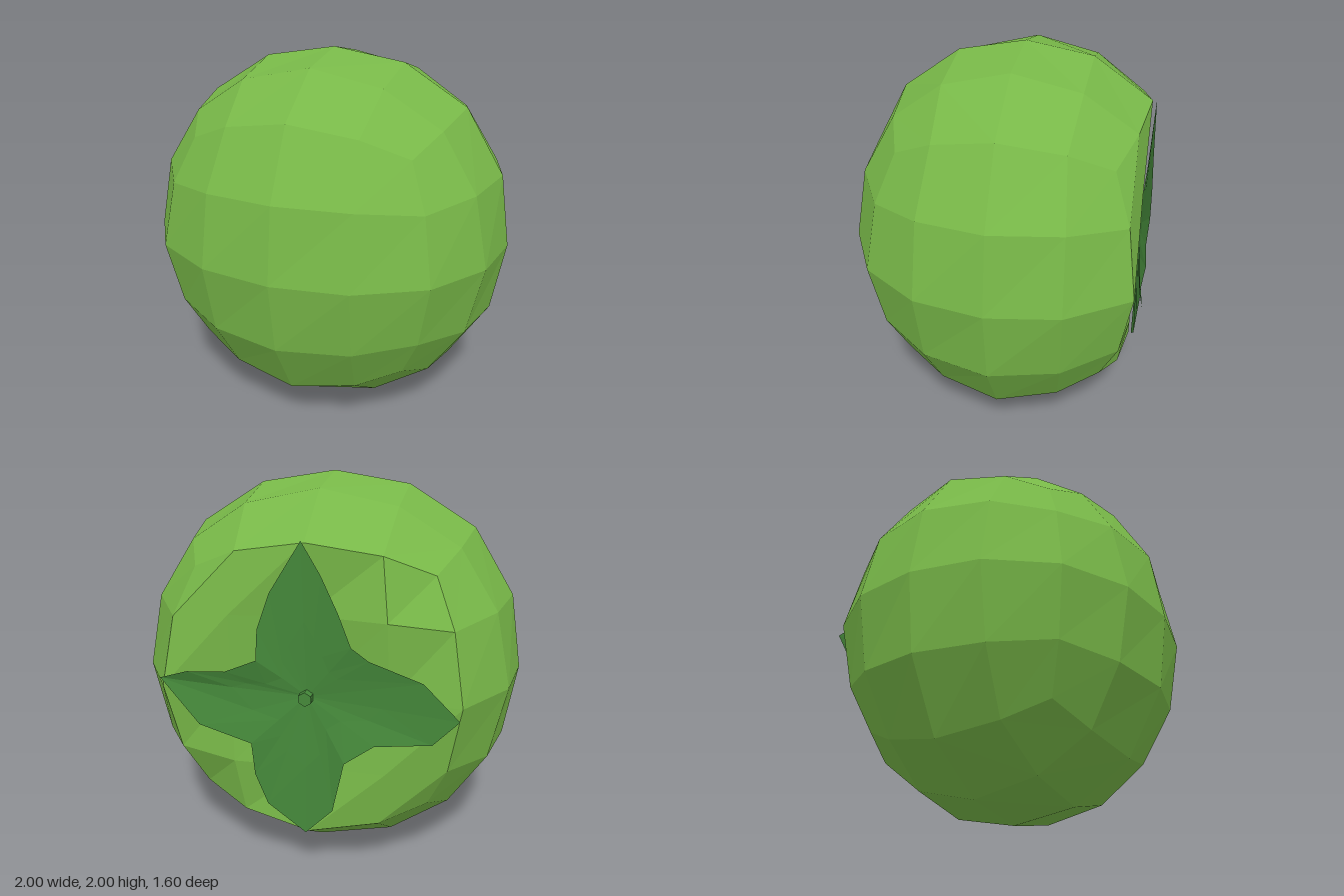
import * as THREE from 'three';

const bodyMat = new THREE.MeshStandardMaterial({ color: 0x78b848, flatShading: true });
const leafMat = new THREE.MeshStandardMaterial({ color: 0x45883a, flatShading: true, side: THREE.DoubleSide });

// Round body: a subdivided box pushed out to a squashed ball with a flattened, dimpled back
function makeBody() {
  const geo = new THREE.BoxGeometry(2, 2, 2, 4, 4, 4);
  const pos = geo.attributes.position;
  const even = (u, v, w) => Math.abs(Math.abs(u) - 0.5) < 0.1
    ? Math.sign(u) * (0.414 + 0.1 * Math.min(Math.abs(v), Math.abs(w)) ** 2) : u;
  for (let i = 0; i < pos.count; i++) {
    const x = pos.getX(i), y = pos.getY(i), z = pos.getZ(i);
    const p = new THREE.Vector3(even(x, y, z), even(y, x, z), even(z, x, y)).normalize();
    // slight swelling along the box edges
    const a = p.x * p.x, b = p.y * p.y, c = p.z * p.z;
    p.multiplyScalar(1 + 0.12 * (a * b + b * c + c * a - 9 * a * b * c));
    p.z = p.z * 0.9 - 0.1;
    if (z < -0.99 && Math.abs(x) < 0.9 && Math.abs(y) < 0.9) {
      const r = Math.hypot(x, y);
      p.z = r < 0.1 ? -0.68 : r < 0.6 ? -0.72 : -0.75;
    }
    pos.setXYZ(i, p.x, p.y + 1, p.z);
  }
  const mesh = new THREE.Mesh(geo, bodyMat);
  mesh.name = 'body';
  return mesh;
}

// Four-lobed leaf star: outline points (x, y, z) joined to a half-size ring and a sunken centre
function makeLeaves() {
  const outline = [
    [0.01, 0.74, -0.775], [-0.08, 0.59, -0.78], [-0.16, 0.42, -0.785], [-0.22, 0.27, -0.795],
    [-0.30, 0.21, -0.79], [-0.55, 0.12, -0.785], [-0.72, -0.05, -0.785], [-0.60, -0.18, -0.78],
    [-0.33, -0.21, -0.79], [-0.19, -0.31, -0.8], [-0.13, -0.58, -0.785], [0.01, -0.73, -0.77],
    [0.20, -0.58, -0.78], [0.26, -0.42, -0.785], [0.27, -0.25, -0.795], [0.53, -0.17, -0.8],
    [0.73, 0.05, -0.775], [0.58, 0.10, -0.795], [0.39, 0.11, -0.79], [0.23, 0.18, -0.8],
    [0.22, 0.33, -0.795], [0.16, 0.5, -0.785],
  ];
  const n = outline.length, verts = [0, 1, -0.745], index = [];
  outline.forEach(([x, y, z]) => verts.push(x * 0.5, 1 + y * 0.5, -0.765, x, 1 + y, z));
  for (let i = 0; i < n; i++) {
    const a = 1 + 2 * i, b = 1 + 2 * ((i + 1) % n);
    index.push(0, b, a, a, b, b + 1, a, b + 1, a + 1);
  }
  // corners run so that the faces look backwards
  for (let i = 0; i < index.length; i += 3) {
    const [p, q, r] = [0, 1, 2].map(k => index[i + k] * 3);
    const turn = (verts[q] - verts[p]) * (verts[r + 1] - verts[p + 1])
      - (verts[q + 1] - verts[p + 1]) * (verts[r] - verts[p]);
    if (turn > 0) [index[i + 1], index[i + 2]] = [index[i + 2], index[i + 1]];
  }
  const geo = new THREE.BufferGeometry();
  geo.setAttribute('position', new THREE.Float32BufferAttribute(verts, 3));
  geo.setIndex(index);
  geo.computeVertexNormals();
  const mesh = new THREE.Mesh(geo, leafMat);
  mesh.name = 'leafStar';
  return mesh;
}

// Short stem stub in the middle of the leaves
function makeStem() {
  const stem = new THREE.Mesh(new THREE.CylinderGeometry(0.035, 0.035, 0.08, 6), leafMat);
  stem.rotation.x = -Math.PI / 2;
  stem.position.set(0, 1, -0.75);
  stem.name = 'stem';
  return stem;
}

export function createModel() {
  const group = new THREE.Group();
  group.name = 'fruit';
  group.add(makeBody(), makeLeaves(), makeStem());
  return group;
}
